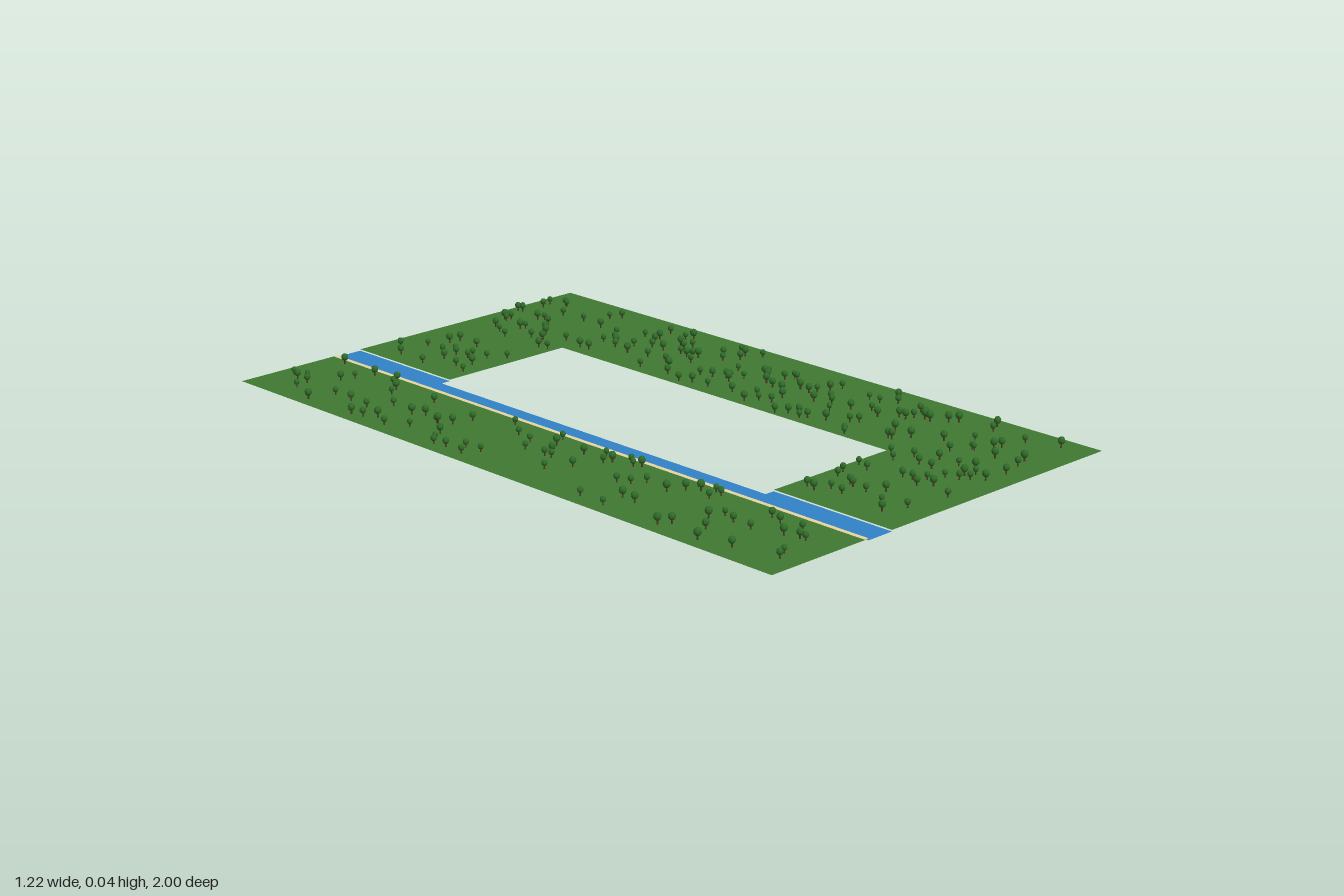
import * as THREE from 'three';
import { mergeGeometries } from 'three/addons/utils/BufferGeometryUtils.js';

const mat = (name, color, extra = {}) => {
  const m = new THREE.MeshStandardMaterial({ color, ...extra });
  m.name = name;
  return m;
};

export function createModel() {
  const group = new THREE.Group();
  const both = { side: THREE.DoubleSide };
  const grass = mat('grass green', 0x3f7832, both);
  const water = mat('river blue', 0x3182c6, both);
  const sand = mat('sand', 0xe6d5a0);
  const earth = mat('bank earth', 0x4a443e);
  const bark = mat('bark brown', 0x5a3320);
  const leaf = mat('leaf green', 0x2f6a28, { flatShading: true });

  const add = (name, geometry, material) => {
    const mesh = new THREE.Mesh(geometry, material);
    mesh.name = name;
    group.add(mesh);
  };

  // Flat sheet from a plan outline of [x, z] corners
  const sheet = (name, corners, y, material) => {
    const shape = new THREE.Shape(corners.map(([x, z]) => new THREE.Vector2(x, -z)));
    const g = new THREE.ShapeGeometry(shape).rotateX(-Math.PI / 2).translate(0, y, 0);
    add(name, g, material);
  };
  const rect = (x0, x1, z0, z1) => [[x0, z1], [x1, z1], [x1, z0], [x0, z0]];

  // Ground: a strip on one side of the river and a C shape round the opening
  const W = 0.612, HX = 0.222, HZ = 0.612, LAND = 0.004;
  const BANK = -0.28, SHORE = -0.197;
  sheet('westGround', rect(-W, BANK, -1, 1), LAND, grass);
  sheet('eastGround', [
    [SHORE, 1], [W, 1], [W, -1], [SHORE, -1],
    [SHORE, -HZ], [HX, -HZ], [HX, HZ], [SHORE, HZ],
  ], LAND, grass);

  // River, notched where the opening cuts into it
  sheet('river', [
    [BANK, 1], [SHORE, 1], [SHORE, HZ], [-HX - 0.004, HZ],
    [-HX - 0.004, -HZ], [SHORE, -HZ], [SHORE, -1], [BANK, -1],
  ], 0, water);

  // Sandy path and low banks beside the water
  sheet('sandPath', rect(-0.294, BANK, -1, 1), LAND + 0.001, sand);
  const bank = (name, x, z, length, material) => add(name,
    new THREE.PlaneGeometry(length, LAND).rotateY(Math.PI / 2).translate(x, LAND / 2, z), material);
  bank('westBank', BANK, 0, 2, earth);
  for (const s of [-1, 1]) bank('eastBank', SHORE, s * (1 + HZ) / 2, 1 - HZ, sand);

  // Trees scattered evenly by a seeded generator
  let seed = 41;
  const rnd = () => (seed = (seed * 16807) % 2147483647) / 2147483647;
  const zones = [
    [-0.58, -0.305, -0.97, 0.96, 85],
    [-0.17, 0.58, -0.97, -0.63, 48],
    [0.235, 0.58, -0.6, 0.61, 100],
    [-0.13, 0.58, 0.63, 0.95, 50],
  ];
  const trunk = new THREE.CylinderGeometry(0.0018, 0.0024, 0.013, 8).translate(0, 0.0065, 0);
  const crown = new THREE.IcosahedronGeometry(0.0095, 1).scale(1, 1.1, 1).translate(0, 0.019, 0);
  const trunks = [], crowns = [];
  const m = new THREE.Matrix4(), q = new THREE.Quaternion();
  const up = new THREE.Vector3(0, 1, 0);
  for (const [x0, x1, z0, z1, count] of zones) {
    for (let i = 0; i < count; i++) {
      const size = 0.78 + rnd() * 0.3;
      const x = x0 + rnd() * (x1 - x0), z = z0 + (i + rnd()) / count * (z1 - z0);
      q.setFromAxisAngle(up, rnd() * Math.PI * 2);
      m.compose(new THREE.Vector3(x, LAND, z), q, new THREE.Vector3(size, size, size));
      trunks.push(trunk.clone().applyMatrix4(m));
      crowns.push(crown.clone().applyMatrix4(m));
    }
  }
  add('treeTrunks', mergeGeometries(trunks), bark);
  add('treeCrowns', mergeGeometries(crowns), leaf);

  return group;
}
